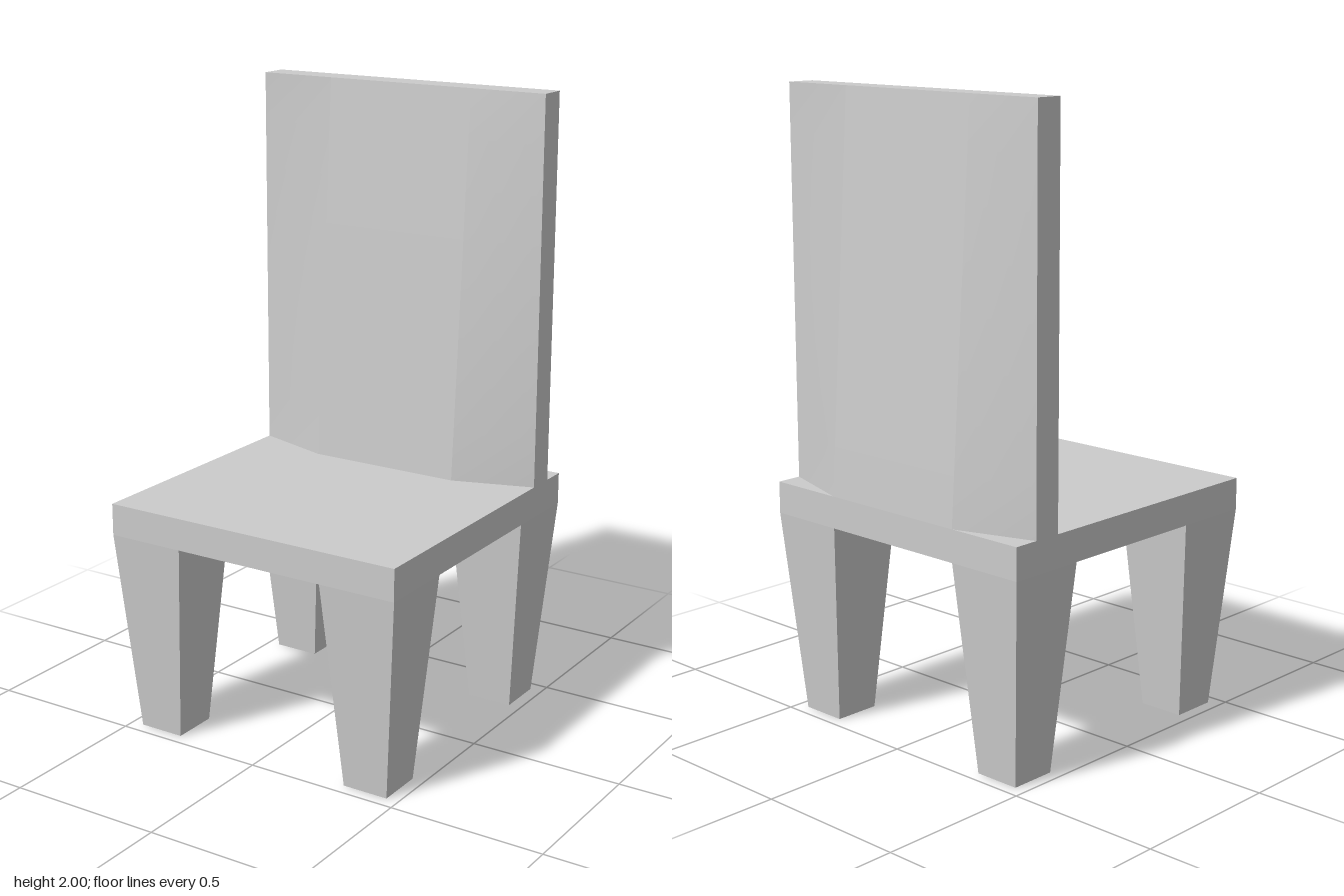
import * as THREE from 'three';
import { mergeGeometries } from 'three/addons/utils/BufferGeometryUtils.js';

const HALF = 0.512, SEAT_BOTTOM = 0.655, SEAT_TOP = 0.757, TOP = 2;
const material = new THREE.MeshStandardMaterial({ color: 0xcccccc, flatShading: false });

function addMesh(group, name, geometry) {
  const mesh = new THREE.Mesh(geometry, material);
  mesh.name = name;
  group.add(mesh);
  return mesh;
}

// Square leg standing on the ground, narrowing towards the foot
function legGeometry() {
  const geo = new THREE.BoxGeometry(0.256, SEAT_BOTTOM, 0.256);
  geo.translate(0, SEAT_BOTTOM / 2, 0);
  const pos = geo.attributes.position;
  for (let i = 0; i < pos.count; i++) {
    const s = pos.getY(i) < 0.01 ? 0.59 : 1;
    pos.setX(i, pos.getX(i) * s);
    pos.setZ(i, pos.getZ(i) * s);
  }
  geo.computeVertexNormals();
  return geo;
}

// Ruled panel between a bottom edge and a top edge, each given as two points
function panel(b0, b1, t0, t1) {
  const geo = new THREE.PlaneGeometry(1, 1, 1, 8);
  const pos = geo.attributes.position;
  const low = new THREE.Vector3(), high = new THREE.Vector3();
  for (let i = 0; i < pos.count; i++) {
    const u = pos.getX(i) + 0.5, v = pos.getY(i) + 0.5;
    low.lerpVectors(b0, b1, u);
    high.lerpVectors(t0, t1, u);
    low.lerp(high, v);
    pos.setXYZ(i, low.x, low.y, low.z);
  }
  geo.computeVertexNormals();
  return geo;
}

// Backrest: eight-point outline at the seat, flattening to a thin slab at the top
function backrestGeometry() {
  const mid = -0.384, thin = 0.046, thick = 0.128, inner = 0.256;
  const front = [-HALF, -inner, inner, HALF];
  const outline = [
    ...front.map(x => [x, 1]),
    ...front.slice().reverse().map(x => [x, -1]),
  ];
  const bottom = outline.map(([x, side]) => new THREE.Vector3(
    x, SEAT_TOP, mid + side * (Math.abs(x) === inner ? thick : thin)));
  const top = outline.map(([x, side]) => new THREE.Vector3(x, TOP, mid + side * thin));

  const parts = outline.map((_, i) => {
    const j = (i + 1) % outline.length;
    return panel(bottom[i], bottom[j], top[i], top[j]);
  });
  const cap = new THREE.PlaneGeometry(2 * HALF, 2 * thin);
  cap.rotateX(-Math.PI / 2);
  cap.translate(0, TOP, mid);
  parts.push(cap);
  return mergeGeometries(parts);
}

export function createModel() {
  const chair = new THREE.Group();
  chair.name = 'chair';

  // Seat slab
  const seat = addMesh(chair, 'seat',
    new THREE.BoxGeometry(2 * HALF, SEAT_TOP - SEAT_BOTTOM, 2 * HALF));
  seat.position.y = (SEAT_TOP + SEAT_BOTTOM) / 2;

  // Four legs, flush with the seat corners
  const leg = legGeometry();
  for (const [zName, z] of [['front', 1], ['back', -1]]) {
    for (const [xName, x] of [['Left', 1], ['Right', -1]]) {
      addMesh(chair, `${zName}${xName}Leg`, leg).position.set(x * 0.384, 0, z * 0.384);
    }
  }

  addMesh(chair, 'backrest', backrestGeometry());
  return chair;
}
